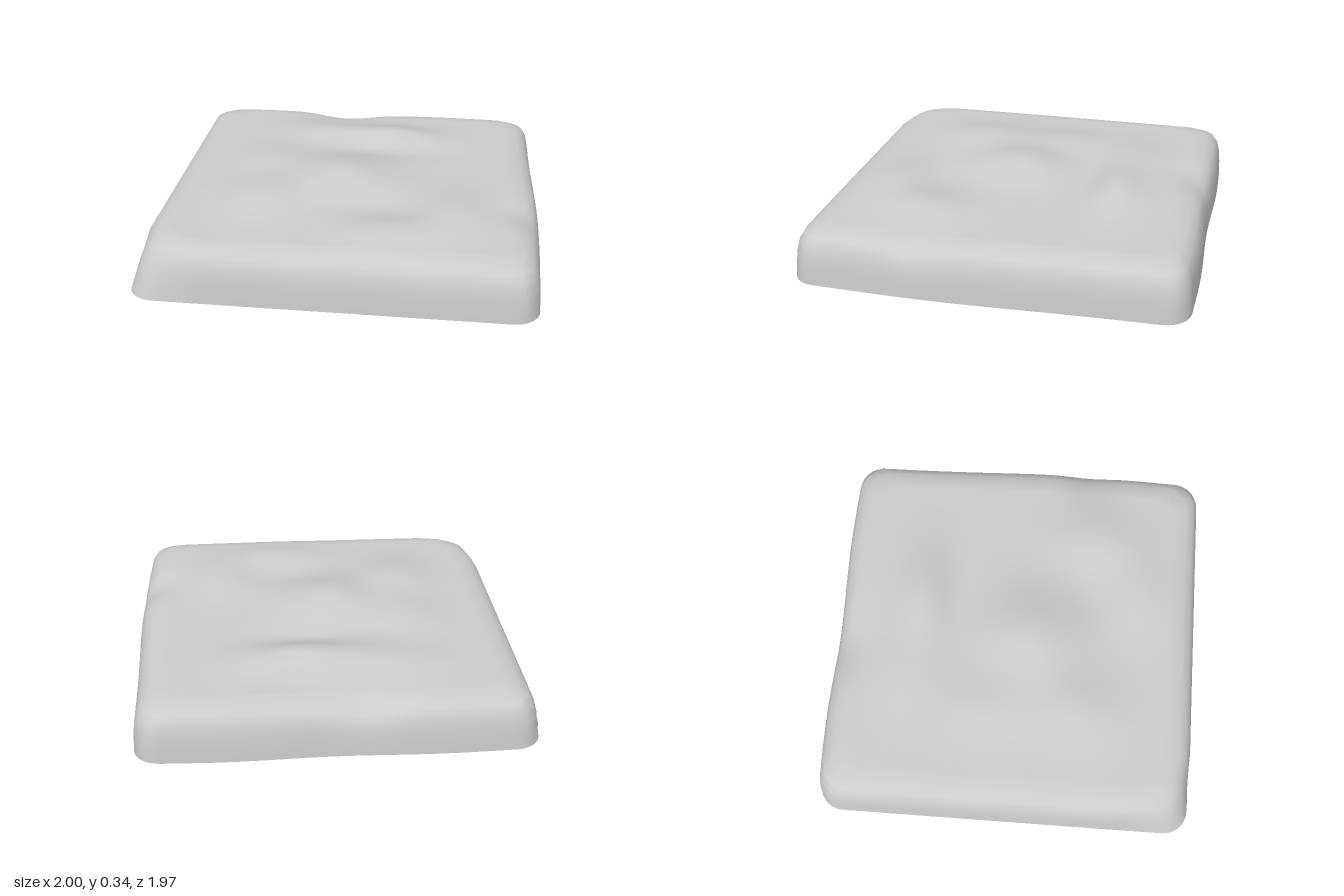
import * as THREE from 'three';

// Edge profile from the open base up to the top: [inset, height]
const RIM = [[0, 0.005], [0.004, 0.08], [0.01, 0.14], [0.022, 0.195], [0.045, 0.236], [0.085, 0.258], [0.14, 0.272]];
const TOP = 0.272;
const N = 60;

// Gentle mounds and hollows: [x, z, height, radius x, radius z]
const BUMPS = [
  [0, 0, 0.01, 0.65, 0.65],          // broad swell of the whole top
  [-0.04, 0.07, 0.066, 0.24, 0.25],  // central mound
  [0.15, -0.51, 0.054, 0.28, 0.14],  // ridge behind the hollow
  [-0.3, -0.56, 0.025, 0.24, 0.16],
  [-0.43, 0.34, 0.042, 0.2, 0.22],
  [-0.45, -0.12, 0.03, 0.18, 0.24],
  [0.25, 0.66, 0.032, 0.25, 0.15],   // ridge in front of the mound
  [0.54, 0.42, 0.034, 0.18, 0.24],
  [0.1, -0.31, -0.016, 0.28, 0.1],   // hollow behind the mound
  [0.2, 0.4, -0.012, 0.22, 0.12],    // hollow in front of the mound
  [-0.13, -0.93, -0.04, 0.18, 0.13], // low spot on the back rim
  [0.95, 0.36, -0.03, 0.14, 0.14],   // low spot on the +x rim
];

function relief(x, z) {
  let y = 0;
  for (const [cx, cz, h, rx, rz] of BUMPS) {
    y += h * Math.exp(-(((x - cx) / rx) ** 2) - ((z - cz) / rz) ** 2);
  }
  return y;
}

// Square point with its corner rounded
function roundCorner(x, z, s) {
  const r = Math.min(0.13, s), c = s - r;
  const dx = Math.max(Math.abs(x) - c, 0), dz = Math.max(Math.abs(z) - c, 0);
  if (dx === 0 || dz === 0) return [x, z];
  const k = Math.max(dx, dz) / Math.hypot(dx, dz);
  return [Math.sign(x) * (c + dx * k), Math.sign(z) * (c + dz * k)];
}

export function createModel() {
  const group = new THREE.Group();
  const geo = new THREE.PlaneGeometry(2, 2, N, N).rotateX(-Math.PI / 2);
  const pos = geo.attributes.position;
  const last = RIM.length - 1;

  for (let i = 0; i < pos.count; i++) {
    const u = pos.getX(i), v = pos.getZ(i);
    const m = Math.max(Math.abs(u), Math.abs(v));
    const ring = Math.round((1 - m) * N / 2);
    // Outer rings fold down into the sides, inner rings spread over the top
    const s = ring <= last ? 1 - RIM[ring][0]
      : (1 - RIM[last][0]) * (N / 2 - ring) / (N / 2 - last);
    const k = m > 1e-6 ? s / m : 0;
    let [x, z] = roundCorner(u * k, v * k, s);
    const rimY = ring < last ? RIM[ring][1] : TOP;
    const rise = rimY / TOP;

    if (x < 0) {
      // The -x side leans in a little, its front corner much more
      const corner = z > 0 ? Math.max(0, (-x * z - 0.6) / 0.4) : 0;
      x += (0.02 * x * x + 0.07 * corner) * rise;
      z -= 0.07 * corner * rise;
    }
    // Slightly uneven outline
    const px = x, pz = z;
    x = px > 0 ? px * (0.974 + 0.026 * Math.exp(-(((pz - 0.25) / 0.6) ** 2)))
      : px * (0.994 + 0.006 * pz);
    z = pz > 0 ? pz * (0.976 + 0.012 * px)
      : pz * (0.976 - 0.01 * px + 0.006 * Math.cos(px * 6 + Math.PI));

    pos.setXYZ(i, x, rimY + relief(x, z) * rise, z);
  }
  geo.computeVertexNormals();

  const tile = new THREE.Mesh(geo, new THREE.MeshStandardMaterial({ color: 0xcccccc, side: THREE.DoubleSide }));
  tile.name = 'groundTile';
  group.add(tile);
  return group;
}
